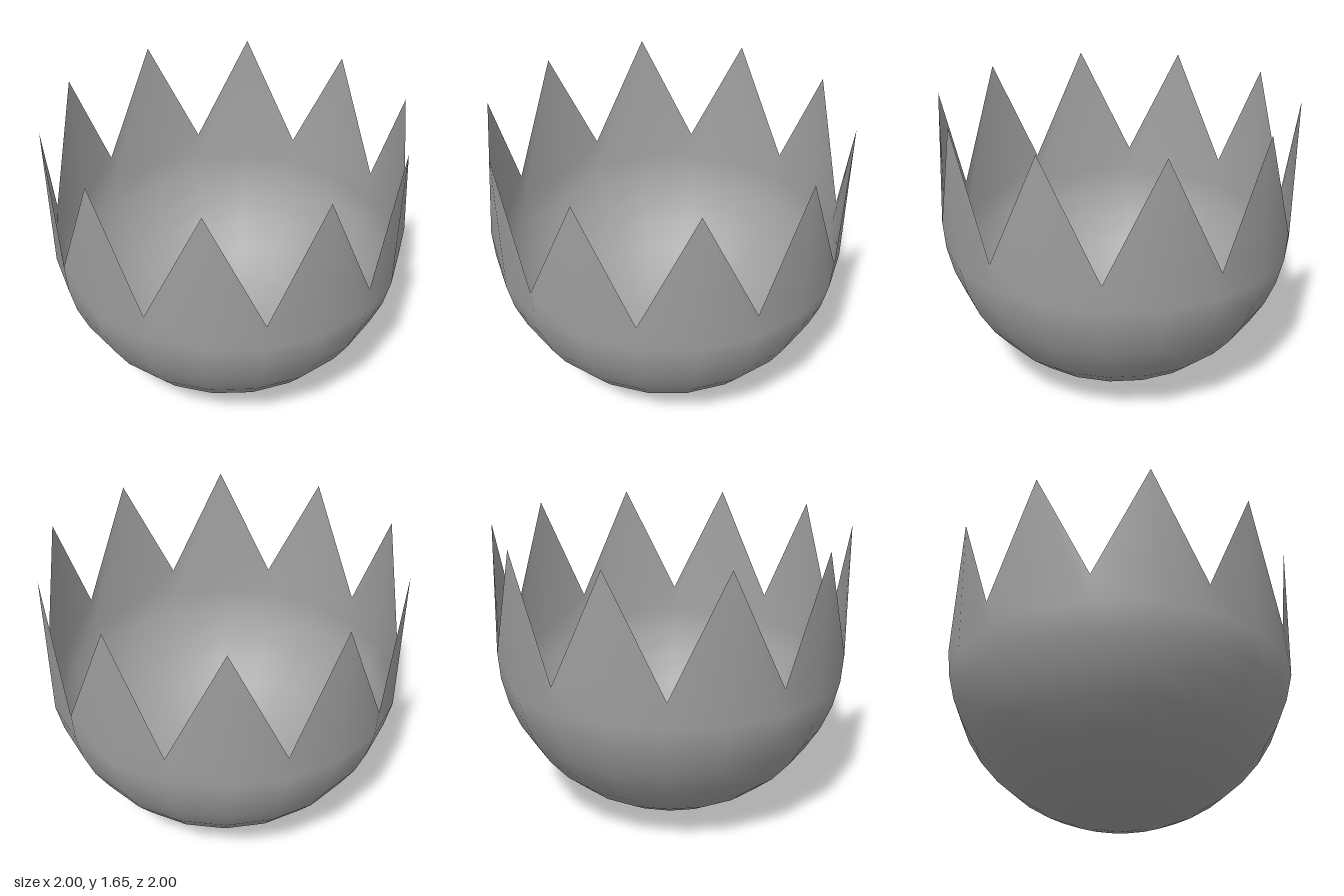
import * as THREE from 'three';
import { mergeVertices } from 'three/addons/utils/BufferGeometryUtils.js';

const SEGMENTS = 20;
const RINGS = 10;
const RIM_Y = 1;
const TIP_Y = 1.65;

export function createModel() {
  const group = new THREE.Group();
  group.name = 'crackedEggshell';

  const shellGrey = new THREE.MeshStandardMaterial({ color: 0xa0a0a0, side: THREE.DoubleSide });
  shellGrey.name = 'shell grey';

  // Lower half of a sphere, standing on y = 0
  let geometry = new THREE.SphereGeometry(1, SEGMENTS, RINGS, 0, Math.PI * 2, Math.PI / 2, Math.PI / 2);
  geometry.translate(0, RIM_Y, 0);

  // Zigzag rim: every other rim vertex is raised to a tip
  const position = geometry.attributes.position;
  for (let i = 0; i <= SEGMENTS; i++) {
    position.setY(i, i % 2 === 1 ? TIP_Y : RIM_Y);
  }

  // Weld the seam so the shell shades smoothly all the way round
  geometry.deleteAttribute('uv');
  geometry.deleteAttribute('normal');
  geometry = mergeVertices(geometry, 1e-4);
  geometry.computeVertexNormals();

  const shell = new THREE.Mesh(geometry, shellGrey);
  shell.name = 'shell';
  group.add(shell);
  return group;
}
